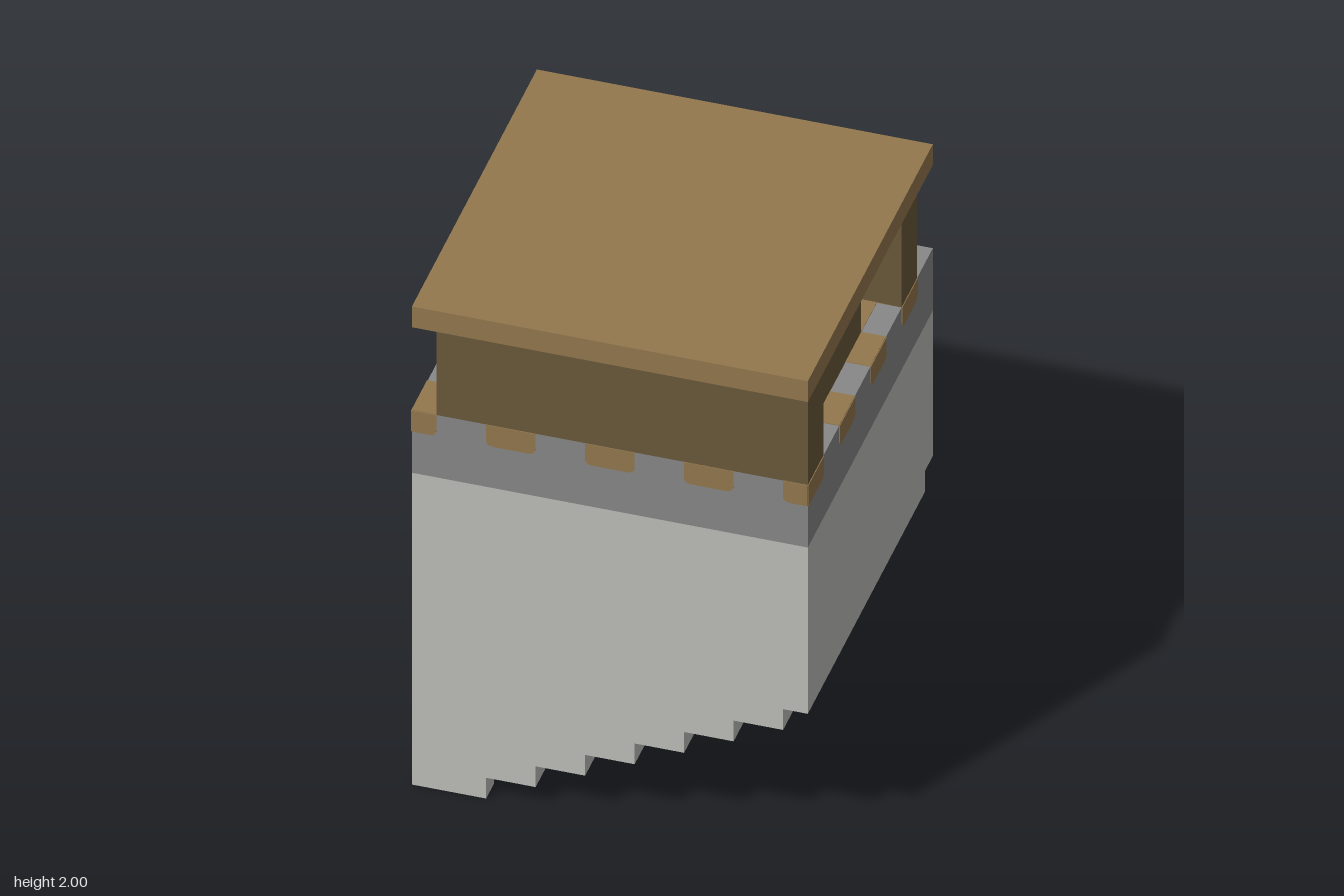
import * as THREE from 'three';

const U = 2 / 23; // one grid unit: the block is 16 x 16 x 23 units

export function createModel() {
  const model = new THREE.Group();
  model.name = 'mazeBlock';

  const mat = (name, color) => {
    const m = new THREE.MeshStandardMaterial({ color });
    m.name = name;
    return m;
  };
  const stone = mat('pale stone', 0xbdbfb9);
  const grey = mat('mid grey', 0x888888);
  const wood = mat('light brown', 0x94784e);
  const dark = mat('dark brown', 0x6b593b);

  // Box from grid ranges: x from the right side, y from the ground, z from the front
  function block(name, m, x0, x1, y0, y1, z0, z1, parent = model) {
    const g = new THREE.BoxGeometry((x1 - x0) * U, (y1 - y0) * U, (z1 - z0) * U);
    const b = new THREE.Mesh(g, m);
    b.name = name;
    b.position.set(((x0 + x1) / 2 - 8) * U, ((y0 + y1) / 2) * U, (8 - (z0 + z1) / 2) * U);
    parent.add(b);
    return b;
  }

  // Roof, floor slab and main body
  block('roof', wood, 0, 16, 22, 23, 0, 16);
  block('floorSlab', grey, 0, 16, 15, 18, 0, 16);
  block('body', stone, 0, 16, 8, 15, 0, 16);

  // Stepped underside, narrowing towards the front right corner
  const steps = new THREE.Group();
  steps.name = 'steppedUnderside';
  model.add(steps);
  for (let i = 0; i < 8; i++) {
    block('step', stone, 0, Math.min(3 + 2 * i, 16), i, i + 1, 0, 1 + 2 * i, steps);
  }

  // Column c covers two units, with half columns at both ends
  const left = (c) => Math.max(0, 2 * c - 1);
  const right = (c) => Math.min(16, 2 * c + 1);

  // Chequered floor tiles
  const tiles = new THREE.Group();
  tiles.name = 'floorTiles';
  model.add(tiles);
  for (let r = 0; r < 8; r++) {
    for (let c = r % 2; c < 9; c += 2) {
      block('tile', wood, left(c), right(c), 17.97, 18.03, 2 * r, 2 * r + 2, tiles);
    }
  }

  // Tile edges on the sides, rounded below where they do not meet a corner
  const edges = new THREE.Group();
  edges.name = 'tileEdges';
  model.add(edges);
  function edgePlate(a, b, face, angle) {
    const ra = a > 0 ? 0.3 : 0, rb = b < 16 ? 0.3 : 0;
    const s = new THREE.Shape();
    s.moveTo(a, 18);
    s.lineTo(a, 17 + ra);
    s.quadraticCurveTo(a, 17, a + ra, 17);
    s.lineTo(b - rb, 17);
    s.quadraticCurveTo(b, 17, b, 17 + rb);
    s.lineTo(b, 18);
    const g = new THREE.ExtrudeGeometry(s, { depth: 0.06, bevelEnabled: false, curveSegments: 4 });
    g.translate(-8, 0, 7.97).scale(U, U, U).rotateY(angle);
    const m = new THREE.Mesh(g, wood);
    m.name = face;
    edges.add(m);
  }
  for (let c = 0; c < 9; c += 2) edgePlate(left(c), right(c), 'frontTileEdge', 0);
  for (let c = 1; c < 9; c += 2) edgePlate(left(c), right(c), 'backTileEdge', Math.PI);
  for (let r = 0; r < 8; r += 2) {
    edgePlate(2 * r, 2 * r + 2, 'leftTileEdge', Math.PI / 2);
    edgePlate(14 - 2 * r, 16 - 2 * r, 'rightTileEdge', -Math.PI / 2);
  }

  // Maze walls, one string per row from front to back
  const rows = [
    '.########',
    '....#....',
    '###.#..#.',
    '....#..#.',
    '###.##.#.',
    '.#...#...',
    '.###.#.##',
    '.....#...',
  ];
  const walls = new THREE.Group();
  walls.name = 'mazeWalls';
  model.add(walls);
  rows.forEach((row, r) => {
    for (const run of row.matchAll(/#+/g)) {
      const last = run.index + run[0].length - 1;
      block('wall', dark, left(run.index), right(last), 18, 22, 2 * r, 2 * r + 2, walls);
    }
  });

  return model;
}
